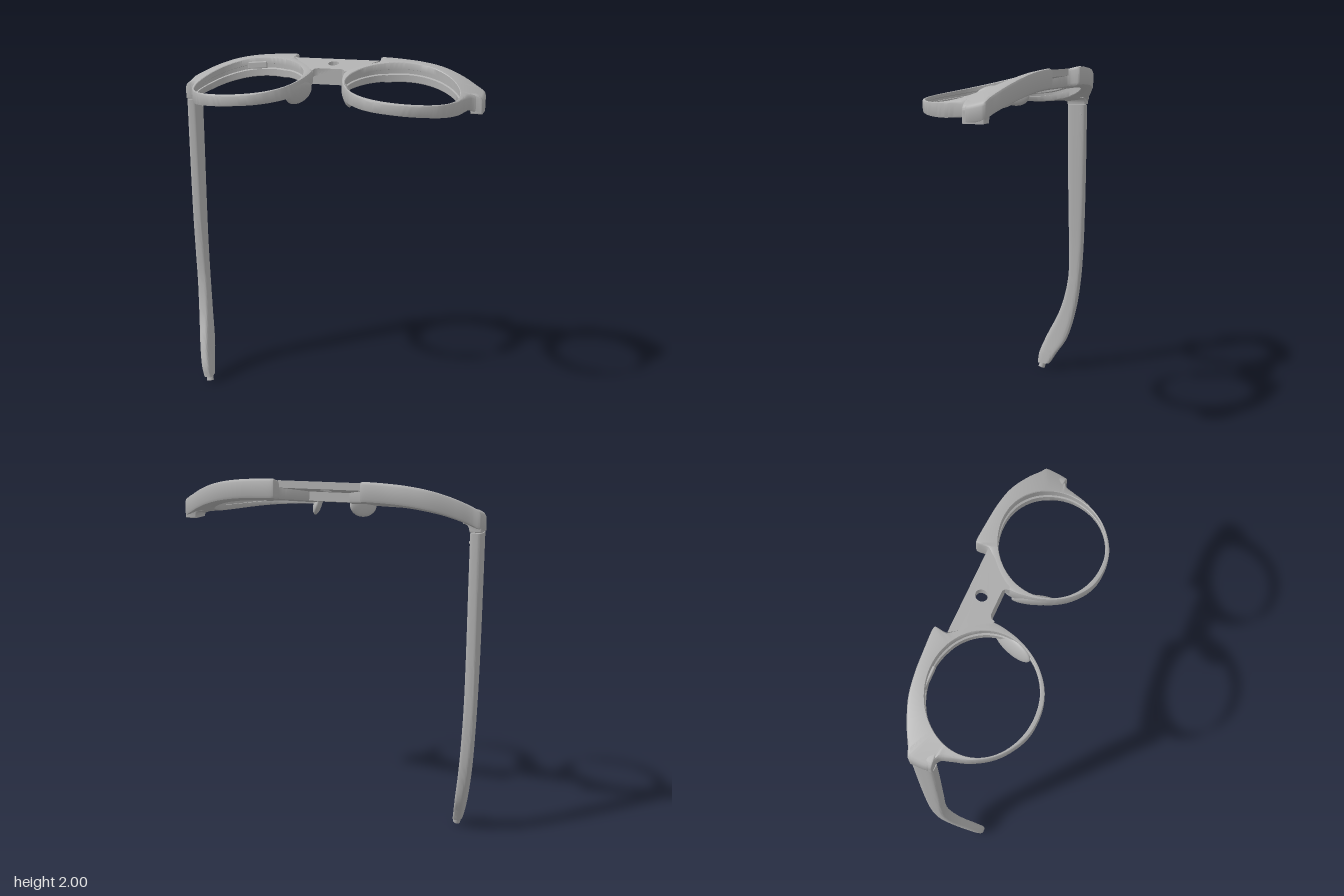
import * as THREE from 'three';
import { toCreasedNormals } from 'three/addons/utils/BufferGeometryUtils.js';
import { RoundedBoxGeometry } from 'three/addons/geometries/RoundedBoxGeometry.js';

const V = (x, y, z) => new THREE.Vector3(x, y, z);

// Height of the curved front surface, and thickness of the frame below it
const faceY = (x, z) => 1.925 - 0.23 * z - 0.21 * x ** 4;
const thick = (z) => 0.085 - 0.08 * z;

// Make every triangle face outwards, then smooth all but the sharp edges
function finish(geometry, crease = 0.6) {
  const g = geometry.index ? geometry.toNonIndexed() : geometry;
  const p = g.attributes.position;
  const a = V(), b = V(), c = V();
  let volume = 0;
  for (let i = 0; i < p.count; i += 3) {
    a.fromBufferAttribute(p, i);
    b.fromBufferAttribute(p, i + 1);
    c.fromBufferAttribute(p, i + 2);
    volume += a.dot(b.cross(c));
  }
  if (volume < 0) {
    for (let i = 0; i < p.count; i += 3) {
      b.fromBufferAttribute(p, i + 1);
      c.fromBufferAttribute(p, i + 2);
      p.setXYZ(i + 1, c.x, c.y, c.z);
      p.setXYZ(i + 2, b.x, b.y, b.z);
    }
  }
  return toCreasedNormals(g, crease);
}

// Skin a row of equal cross-sections, either joined in a ring or capped
function loft(sections, ring) {
  const n = sections[0].length, m = sections.length, index = [];
  const points = sections.flat();
  for (let i = 0; i < (ring ? m : m - 1); i++) {
    for (let j = 0; j < n; j++) {
      const a = i * n + j, b = i * n + (j + 1) % n;
      const k = ((i + 1) % m) * n;
      const c = k + j, d = k + (j + 1) % n;
      index.push(a, b, c, b, d, c);
    }
  }
  if (!ring) {
    for (let j = 1; j < n - 1; j++) {
      const e = (m - 1) * n;
      index.push(0, j + 1, j, e, e + j, e + j + 1);
    }
  }
  const g = new THREE.BufferGeometry().setFromPoints(points);
  g.setIndex(index);
  return finish(g);
}

// Outer outline of one half of the frame, as x and z
const OUTLINE = [
  [0.092, -0.07], [0.1, 0], [0.13, 0.1], [0.2, 0.21], [0.31, 0.29], [0.43, 0.312],
  [0.55, 0.293], [0.68, 0.205], [0.755, 0.09], [0.785, 0], [0.805, -0.05], [0.835, -0.07],
  [0.86, -0.08], [0.866, -0.09], [0.866, -0.18], [0.86, -0.19], [0.82, -0.205], [0.75, -0.24],
  [0.62, -0.29], [0.5, -0.31], [0.38, -0.318], [0.255, -0.322], [0.246, -0.318],
  [0.246, -0.25], [0.19, -0.2], [0.13, -0.14], [0.1, -0.1],
];

function rimGeometry(side) {
  const curve = new THREE.CatmullRomCurve3(OUTLINE.map(([x, z]) => V(x, 0, z)), true);
  const cx = 0.44, cz = 0.02, rx = 0.312, rz = 0.27, N = 216;
  const sections = [];
  for (let i = 0; i < N; i++) {
    const o = curve.getPoint(i / N);
    const angle = Math.atan2((o.z - cz) / rz, (o.x - cx) / rx);
    const ix = cx + rx * Math.cos(angle), iz = cz + rz * Math.sin(angle);
    const w = Math.hypot(o.x - ix, o.z - iz), t = thick(o.z);
    const b = Math.min(0.018, 0.35 * w), g = Math.min(0.01, 0.35 * w);
    // Rounded outside, with a lens groove on the inside
    const profile = [
      [0.003, 0], [w - b, 0], [w - 0.3 * b, -0.3 * b], [w, -b], [w, b - t],
      [w - 0.3 * b, 0.3 * b - t], [w - b, -t], [0.003, -t], [0, 0.004 - t], [0, -0.62 * t],
      [g, -0.58 * t], [g, -0.38 * t], [0, -0.34 * t], [0, -0.004],
    ];
    sections.push(profile.map(([d, h]) => {
      const x = ix + (o.x - ix) * d / w, z = iz + (o.z - iz) * d / w;
      return V(side * x, faceY(x, z) + h, z);
    }));
  }
  return loft(sections, true);
}

// Flat plate drawn in x and z that follows the front surface
function plateGeometry(points, depth, hole) {
  const shape = new THREE.Shape(points.map(([x, z]) => new THREE.Vector2(x, z)));
  if (hole) shape.holes.push(new THREE.Path().absarc(0, -0.18, hole, 0, Math.PI * 2, true));
  const g = new THREE.ExtrudeGeometry(shape, { depth, bevelEnabled: false, curveSegments: 32 });
  const p = g.attributes.position;
  for (let i = 0; i < p.count; i++) {
    const x = p.getX(i), z = p.getY(i);
    p.setXYZ(i, x, faceY(x, z) - depth + p.getZ(i), z);
  }
  return finish(g);
}

// Corner block that turns the frame down towards the temple
function cornerGeometry(side) {
  const s = new THREE.Shape();
  s.moveTo(0.8, 1.742);
  s.lineTo(0.865, 1.742);
  s.lineTo(0.865, 1.8);
  s.quadraticCurveTo(0.865, 1.838, 0.82, 1.85);
  s.lineTo(0.77, 1.86);
  s.lineTo(0.765, 1.785);
  s.quadraticCurveTo(0.8, 1.785, 0.8, 1.742);
  const g = new THREE.ExtrudeGeometry(s, {
    depth: 0.104, bevelThickness: 0.008, bevelSize: 0.006, bevelOffset: -0.006, bevelSegments: 3,
  });
  g.translate(0, 0, -0.179);
  g.scale(side, 1, 1);
  return finish(g);
}

// Temple stations: y, outer x, inner x, front z, back z
const TEMPLE = [
  [1.738, -0.865, -0.8, -0.065, -0.185], [1.5, -0.865, -0.799, -0.068, -0.185],
  [1.2, -0.865, -0.799, -0.074, -0.183], [1, -0.864, -0.798, -0.079, -0.18],
  [0.8, -0.861, -0.795, -0.086, -0.175], [0.6, -0.853, -0.786, -0.083, -0.164],
  [0.4, -0.834, -0.768, -0.038, -0.14], [0.2, -0.797, -0.738, 0.053, -0.088],
  [0.1, -0.774, -0.718, 0.09, -0.025], [0.035, -0.757, -0.706, 0.095, 0.014],
];

function templeGeometry() {
  const mid = new THREE.CatmullRomCurve3(TEMPLE.map(([y, a, b, c, d]) => V((a + b) / 2, y, (c + d) / 2)));
  const size = new THREE.CatmullRomCurve3(TEMPLE.map(([y, a, b, c, d]) => V((b - a) / 2, y, (c - d) / 2)));
  const soft = (v) => Math.sign(v) * Math.abs(v) ** 0.5;
  const sections = [];
  for (let i = 0; i <= 54; i++) {
    const m = mid.getPoint(i / 54), s = size.getPoint(i / 54);
    sections.push(Array.from({ length: 28 }, (_, j) => {
      const a = (j + 0.5) / 28 * Math.PI * 2;
      return V(m.x + s.x * soft(Math.cos(a)), m.y, m.z + s.z * soft(Math.sin(a)));
    }));
  }
  return loft(sections, false);
}

export function createModel() {
  const model = new THREE.Group();
  model.name = 'eyeglassFrame';
  const grey = new THREE.MeshStandardMaterial({ color: 0xb0b0b0 });
  grey.name = 'matte grey';
  const add = (name, geometry, x = 0, y = 0, z = 0) => {
    const mesh = new THREE.Mesh(geometry, grey);
    mesh.name = name;
    mesh.position.set(x, y, z);
    model.add(mesh);
    return mesh;
  };

  // Rims, corner blocks and nose pads, mirrored
  for (const side of [1, -1]) {
    const label = side > 0 ? 'left' : 'right';
    add(label + 'Rim', rimGeometry(side));
    add(label + 'Corner', cornerGeometry(side));
    const pad = add(label + 'NosePad', new THREE.SphereGeometry(1, 28, 20), side * 0.137, 1.832, 0.045);
    pad.scale.set(0.024, 0.066, 0.115);
    pad.rotation.set(0, side * 0.33, side * 0.25);
  }

  // Bridge: thin pierced plate, hollow beneath, with a lip at the nose
  const half = [[0.25, -0.25], [0.2, -0.185], [0.13, -0.115], [0.108, -0.075], [0.092, -0.07], [0.085, -0.09], [0.07, -0.1]];
  const mirrored = half.map(([x, z]) => [-x, z]).reverse();
  add('bridgePlate', plateGeometry([...half, ...mirrored], 0.04, 0.031));
  add('bridgeLip', plateGeometry([[0.12, -0.125], [0.1, -0.1], [-0.1, -0.1], [-0.12, -0.125]], 0.09));

  // Small catch inside the upper right rim
  const catchPlate = add('lensCatch', new RoundedBoxGeometry(0.12, 0.04, 0.014, 3, 0.006), -0.48, 1.928, -0.243);
  catchPlate.rotation.z = 0.08;

  // Single temple with its screw and end peg
  add('temple', templeGeometry());
  const screw = add('hingeScrew', new THREE.CylinderGeometry(0.008, 0.008, 0.006, 16), -0.799, 1.685, -0.155);
  screw.rotation.z = Math.PI / 2;
  const peg = add('templePeg', new THREE.CylinderGeometry(0.021, 0.021, 0.05, 20), -0.727, 0.028, 0.062);
  peg.rotation.set(-0.3, 0, 0.2);

  return model;
}
